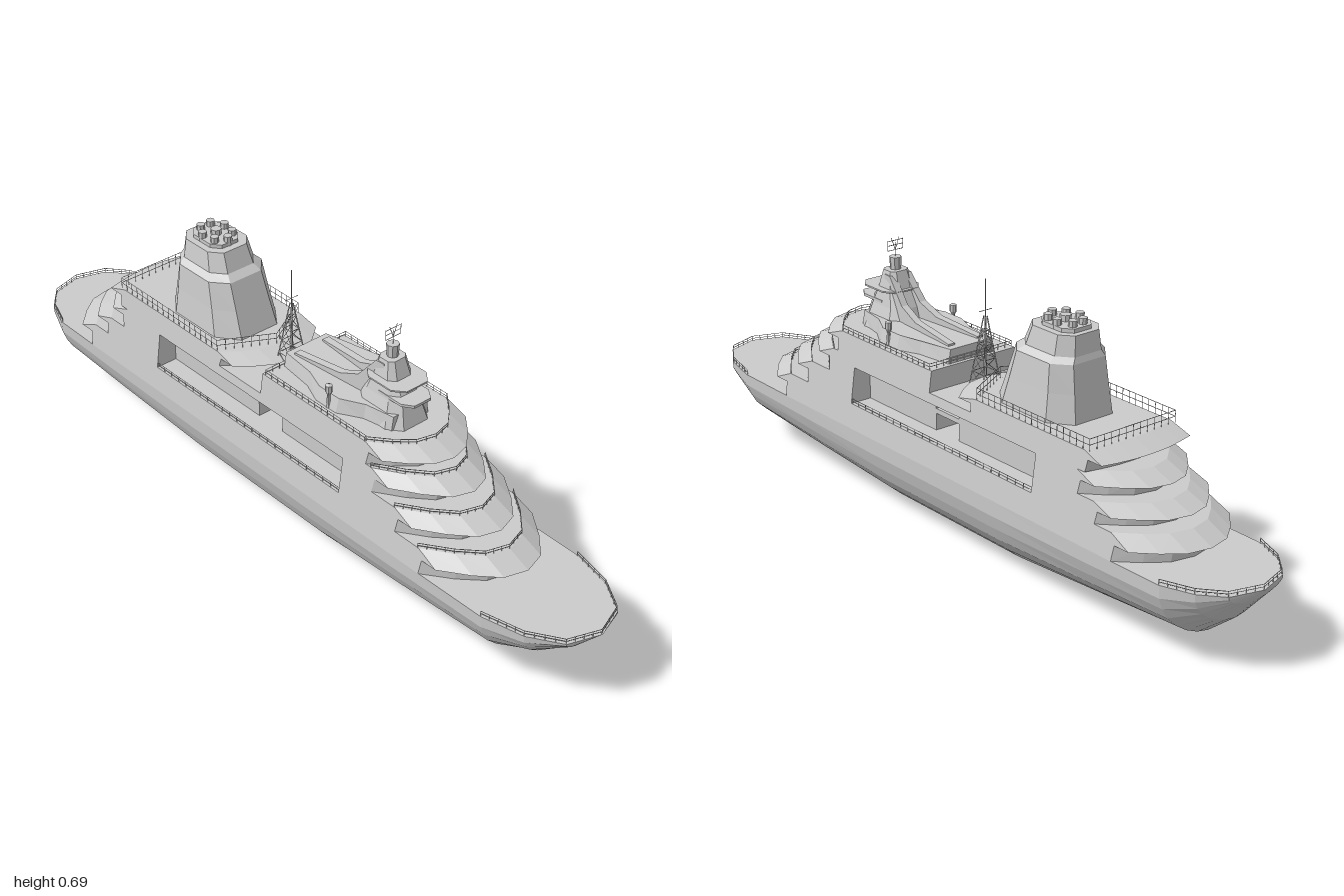
import * as THREE from 'three';
import { mergeGeometries } from 'three/addons/utils/BufferGeometryUtils.js';

const material = new THREE.MeshStandardMaterial({ color: 0xcccccc, flatShading: true, side: THREE.DoubleSide });

// Skin a list of equal-length closed rings, with fan caps; turned outward by signed volume
function loft(rings) {
  const tris = [], n = rings[0].length, last = rings[rings.length - 1];
  for (let i = 0; i < rings.length - 1; i++) {
    for (let j = 0; j < n; j++) {
      const k = (j + 1) % n, a = rings[i][j], b = rings[i][k], c = rings[i + 1][k], d = rings[i + 1][j];
      tris.push([a, b, c], [a, c, d]);
    }
  }
  for (let j = 1; j < n - 1; j++) {
    tris.push([rings[0][0], rings[0][j + 1], rings[0][j]], [last[0], last[j], last[j + 1]]);
  }
  let volume = 0;
  for (const [a, b, c] of tris) volume += a.dot(b.clone().cross(c));
  const pts = tris.flatMap(([a, b, c]) => (volume < 0 ? [a, c, b] : [a, b, c]));
  const g = new THREE.BufferGeometry().setFromPoints(pts);
  g.computeVertexNormals();
  return g;
}

const V = (x, y, z) => new THREE.Vector3(x, y, z);
// Half width of the leaning ship side at height y
const sideWidth = (y) => 0.165 - 0.135 * (y - 0.21);

// Pointed deck edge from +x to -x: tip at z = f, sides swept back by drop
const CHEVRON = [[1, 1], [0.69, 0.5], [0.38, 0.13], [0, 0], [-0.38, 0.13], [-0.69, 0.5], [-1, 1]];
const chevron = (y, f, s, drop, w = sideWidth(y)) => CHEVRON.map(([x, d]) => V(x * w, y, f - s * d * drop));

// Recessed wall, overhanging lip and sloping roof, running back to z = cut
function terrace(y0, y1, f, s, drop, cut) {
  const lip = y0 + 0.6 * (y1 - y0);
  return loft([[y0, 0.05], [lip, 0.045], [lip, 0], [y1, 0.06]].map(([y, back]) => {
    const w = sideWidth(y);
    return [V(w, y, cut), ...chevron(y, f - s * back, s, drop), V(-w, y, cut)];
  }));
}

// Chamfered eight-sided section
function octagon(y, hx, zf, zb, c = 0.42) {
  const m = (zf + zb) / 2, h = (zf - zb) / 2, k = 1 - c;
  return [[1, k], [k, 1], [-k, 1], [-1, k], [-1, -k], [-k, -1], [k, -1], [1, -k]].map(([x, z]) => V(x * hx, y, m + z * h));
}

// Block between two z positions that follows the leaning side
function block(y0, y1, zf, zb, w0 = sideWidth(y0), w1 = sideWidth(y1)) {
  return loft([[y0, w0], [y1, w1]].map(([y, w]) => [V(w, y, zf), V(-w, y, zf), V(-w, y, zb), V(w, y, zb)]));
}

// Thin rod between two points
function rod(a, b, r = 0.0009, sides = 4) {
  const d = b.clone().sub(a), g = new THREE.CylinderGeometry(r, r, d.length(), sides);
  g.applyQuaternion(new THREE.Quaternion().setFromUnitVectors(V(0, 1, 0), d.clone().normalize()));
  return g.translate(...a.clone().add(b).multiplyScalar(0.5).toArray());
}

// Railing with posts and two wires along a polyline
function railing(path, h = 0.015, step = 0.022) {
  const parts = [], up = (p, t) => V(p.x, p.y + t, p.z);
  for (let i = 0; i < path.length - 1; i++) {
    const a = path[i], b = path[i + 1], n = Math.max(1, Math.round(a.distanceTo(b) / step));
    parts.push(rod(up(a, h), up(b, h)), rod(up(a, h / 2), up(b, h / 2)));
    for (let j = 0; j <= n; j++) {
      const p = a.clone().lerp(b, j / n);
      parts.push(rod(p, up(p, h)));
    }
  }
  return mergeGeometries(parts);
}

export function createModel() {
  const ship = new THREE.Group();
  ship.name = 'cruiseShip';
  const add = (name, geometry) => {
    const m = new THREE.Mesh(geometry, material);
    m.name = name;
    ship.add(m);
    return m;
  };

  // Hull: stations are z, half beam at the deck, keel height
  const stations = [[1, 0, 0.21], [0.97, 0.085, 0.18], [0.89, 0.136, 0.112], [0.78, 0.162, 0.05], [0.5, 0.165, 0.025], [0.2, 0.165, 0],
    [-0.27, 0.165, 0], [-0.6, 0.165, 0.026], [-0.84, 0.162, 0.045], [-0.92, 0.132, 0.11], [-0.975, 0.085, 0.175], [-1, 0, 0.21]];
  const half = [[1, 1], [0.99, 0.8], [0.92, 0.62], [0.82, 0.45], [0.64, 0.28], [0.43, 0.14], [0.21, 0.045]];
  const frame = [...half, [0, 0], ...half.map(([x, y]) => [-x, y]).reverse()];
  add('hull', loft(stations.map(([z, b, k]) => frame.map(([x, y]) => V(x * b, k + (0.21 - k) * y, z)))));
  for (const [name, list] of [['bowRail', stations.slice(0, 4)], ['sternRail', stations.slice(8).reverse()]]) {
    const side = list.map(([z, b]) => V(b * 0.985, 0.21, z * 0.997));
    add(name, railing([...side.slice(1).reverse(), ...side.map((p) => V(-p.x, p.y, p.z))], 0.013));
  }

  // Stepped decks at the bow and the stern
  const bow = [0.21, 0.275, 0.335, 0.395, 0.45], bowTips = [0.77, 0.68, 0.59, 0.52], bowCuts = [0, 0.295, 0.295, -0.01];
  const stern = [0.21, 0.275, 0.325, 0.38, 0.43], sternTips = [-0.84, -0.775, -0.71, -0.645], sternCuts = [0, -0.41, -0.41, -0.19];
  for (let i = 0; i < 4; i++) {
    const bowDrop = i === 3 ? 0.1 : 0.14;
    add('bowTerrace', terrace(bow[i], bow[i + 1], bowTips[i], 1, bowDrop, bowCuts[i]));
    add('sternTerrace', terrace(stern[i], stern[i + 1], sternTips[i], -1, i === 3 ? 0.02 : 0.1, sternCuts[i]));
    add('terraceRail', railing(chevron(bow[i + 1], bowTips[i] - 0.062, 1, bowDrop), 0.013));
  }
  add('funnelDeckFront', terrace(0.395, 0.43, -0.05, 1, 0.07, -0.3));

  // Open side promenade: inner walls, roof, crossing beam and rails
  add('innerWallFront', block(0.27, 0.375, 0.3, 0.02, 0.095, 0.095));
  add('innerWallRear', block(0.27, 0.375, -0.07, -0.42, 0.095, 0.095));
  add('promenadeRoof', block(0.37, 0.395, 0.3, -0.42));
  add('crossBeam', block(0.32, 0.333, 0.03, -0.08, 0.095, 0.095));
  for (const s of [1, -1]) {
    add('promenadeRail', railing([V(s * 0.154, 0.275, 0.295), V(s * 0.154, 0.275, -0.41)], 0.013, 0.03));
  }

  // Rails of the upper decks
  const w = sideWidth(0.43) - 0.002;
  add('funnelDeckRail', railing([V(0, 0.43, -0.112), V(w, 0.43, -0.185), V(w, 0.43, -0.58), V(-w, 0.43, -0.58), V(-w, 0.43, -0.185), V(0, 0.43, -0.112)], 0.03));
  for (const s of [1, -1]) {
    add('bridgeDeckRail', railing([V(s * 0.13, 0.45, 0.36), V(s * 0.13, 0.45, 0), V(0, 0.45, 0)], 0.015));
  }

  // Bridge deckhouse with wider middle
  const plan = [[0.072, 0], [0.085, 0.1], [0.11, 0.16], [0.11, 0.23], [0.075, 0.29], [0.06, 0.37]];
  const outline = [...plan, ...plan.map(([x, z]) => [-x, z]).reverse()];
  add('deckhouse', loft([0.445, 0.487].map((y) => outline.map(([x, z]) => V(x * (y > 0.46 ? 0.9 : 1), y, z)))));

  // Bridge tower with platforms and two fins sloping aft
  add('bridgeTower', loft([octagon(0.45, 0.066, 0.39, 0.22), octagon(0.515, 0.046, 0.37, 0.24),
    octagon(0.56, 0.037, 0.345, 0.265), octagon(0.605, 0.028, 0.33, 0.28)]));
  add('lowerPlatform', loft([octagon(0.52, 0.045, 0.41, 0.28), octagon(0.527, 0.045, 0.41, 0.28)]));
  add('upperPlatform', loft([octagon(0.556, 0.057, 0.39, 0.255), octagon(0.56, 0.057, 0.39, 0.255)]));
  add('towerCap', new THREE.CylinderGeometry(0.016, 0.014, 0.035, 8).translate(0, 0.62, 0.305));
  const finShape = new THREE.Shape([[0.02, 0.48], [0.02, 0.492], [0.17, 0.505], [0.23, 0.53], [0.285, 0.595], [0.31, 0.595], [0.31, 0.48]]
    .map(([z, y]) => new THREE.Vector2(z, y)));
  for (const s of [1, -1]) {
    // Extruded along x, then leaned in toward the tower
    const fin = new THREE.ExtrudeGeometry(finShape, { depth: 0.02, bevelEnabled: false });
    fin.translate(0, 0, -0.01).rotateY(-Math.PI / 2).scale(1, 1, 1);
    const p = fin.attributes.position;
    for (let i = 0; i < p.count; i++) p.setX(i, p.getX(i) + s * (0.047 - 0.08 * p.getZ(i)));
    add('towerFin', fin);
    // Side lamp posts
    add('lampPost', new THREE.LatheGeometry([[0.007, 0], [0.004, 0.035], [0.009, 0.045], [0.009, 0.062], [0, 0.066]]
      .map(([x, y]) => new THREE.Vector2(x, y)), 8).translate(s * 0.104, 0.45, 0.2));
  }

  // Antenna on the bridge tower
  const aerial = [rod(V(0, 0.63, 0.305), V(0, 0.675, 0.305))];
  for (const s of [1, -1]) {
    aerial.push(rod(V(0, 0.655, 0.305), V(s * 0.012, 0.687, 0.305)), rod(V(s * 0.024, 0.655, 0.305), V(s * 0.024, 0.682, 0.305)));
  }
  for (const y of [0.655, 0.668, 0.68]) aerial.push(rod(V(-0.024, y, 0.305), V(0.024, y, 0.305)));
  add('antenna', mergeGeometries(aerial));

  // Lattice mast amidships
  const lattice = [rod(V(0, 0.55, -0.055), V(0, 0.67, -0.055), 0.0015)];
  const leg = (i, t) => {
    const a = (i + 0.5) * Math.PI / 2, r = 0.035 * (1 - t) + 0.004;
    return V(r * Math.cos(a), 0.395 + 0.18 * t, -0.055 + r * Math.sin(a));
  };
  for (let i = 0; i < 4; i++) {
    lattice.push(rod(leg(i, 0), leg(i, 1), 0.002));
    for (let k = 1; k < 5; k++) lattice.push(rod(leg(i, k / 5), leg(i + 1, k / 5), 0.0012), rod(leg(i, (k - 1) / 5), leg(i + 1, k / 5)));
  }
  lattice.push(rod(V(-0.02, 0.59, -0.055), V(0.02, 0.59, -0.055)));
  add('latticeMast', mergeGeometries(lattice));

  // Flared funnel with a ring of exhaust pipes
  add('funnel', loft([octagon(0.43, 0.1, -0.18, -0.45), octagon(0.5, 0.092, -0.205, -0.44), octagon(0.57, 0.086, -0.23, -0.43),
    octagon(0.585, 0.071, -0.25, -0.425), octagon(0.635, 0.063, -0.27, -0.42)]));
  add('funnelCollar', loft([octagon(0.635, 0.045, -0.29, -0.405), octagon(0.645, 0.045, -0.29, -0.405)]));
  for (let i = 0; i < 7; i++) {
    const a = i * Math.PI * 2 / 7, r = 0.036;
    add('exhaustPipe', new THREE.CylinderGeometry(0.011, 0.011, 0.03, 8).translate(r * Math.sin(a), 0.645, -0.345 + r * 1.3 * Math.cos(a)));
  }
  add('centrePipe', new THREE.CylinderGeometry(0.014, 0.014, 0.03, 8).translate(0, 0.645, -0.345));
  return ship;
}
